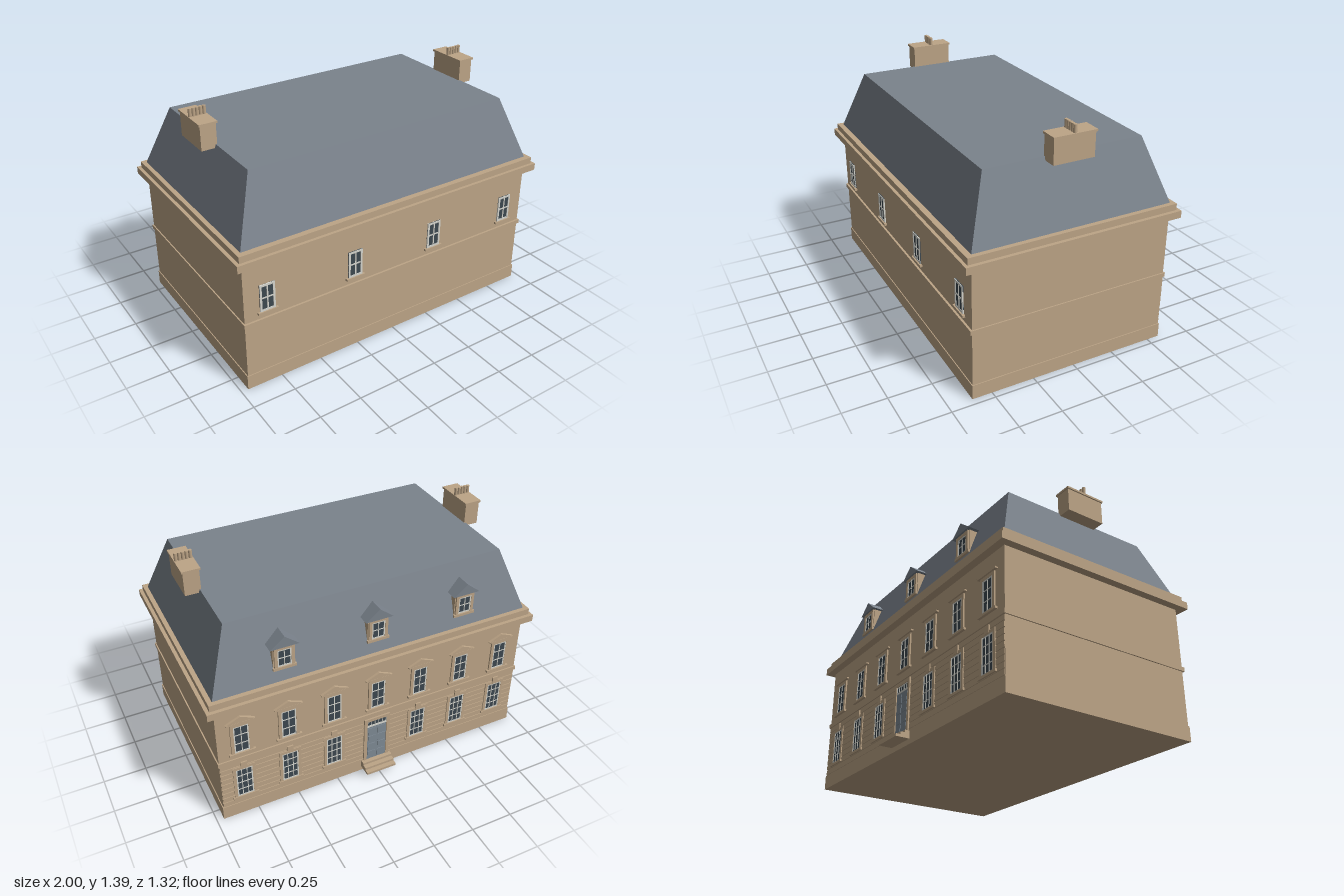
import * as THREE from 'three';

const mat = (name, color) => {
  const m = new THREE.MeshStandardMaterial({ color });
  m.name = name;
  return m;
};

export function createModel() {
  const stone = mat('stone', 0xbda587);
  const slate = mat('slate', 0x7b838c);
  const glass = mat('glass', 0x3d4850);
  const white = mat('window white', 0xd6d6ce);
  const doorGrey = mat('door grey', 0x7f8b95);

  const model = new THREE.Group();
  model.name = 'house';

  const add = (parent, name, geo, material) => {
    const m = new THREE.Mesh(geo, material);
    m.name = name;
    parent.add(m);
    return m;
  };
  // Box given by its limits
  const box = (parent, name, x0, x1, y0, y1, z0, z1, material) => {
    const m = add(parent, name, new THREE.BoxGeometry(x1 - x0, y1 - y0, z1 - z0), material);
    m.position.set((x0 + x1) / 2, (y0 + y1) / 2, (z0 + z1) / 2);
    return m;
  };
  const group = (parent, name, x, y, z) => {
    const g = new THREE.Group();
    g.name = name;
    g.position.set(x, y, z);
    parent.add(g);
    return g;
  };
  // Triangular prism, base on y = 0, running along +z
  const gable = (width, height, depth) => {
    const s = new THREE.Shape();
    s.moveTo(-width / 2, 0);
    s.lineTo(width / 2, 0);
    s.lineTo(0, height);
    s.closePath();
    return new THREE.ExtrudeGeometry(s, { depth, bevelEnabled: false });
  };
  // Glass with white frame and glazing bars, centred on x = 0
  const sash = (g, w, y0, y1, cols, rows, z = 0, t = 0.007) => {
    box(g, 'pane', -w / 2, w / 2, y0, y1, z, z + 0.005, glass);
    for (let i = 0; i <= cols; i++) {
      const x = -w / 2 + (w * i) / cols;
      const e = i === 0 || i === cols ? t / 2 : t / 3;
      const c = i === 0 ? x + e : i === cols ? x - e : x;
      box(g, 'uprightBar', c - e, c + e, y0, y1, z, z + 0.008, white);
    }
    for (let j = 0; j <= rows; j++) {
      const y = y0 + ((y1 - y0) * j) / rows;
      const e = j === 0 || j === rows ? t / 2 : t / 3;
      const c = j === 0 ? y + e : j === rows ? y - e : y;
      box(g, 'crossBar', -w / 2, w / 2, c - e, c + e, z, z + 0.0075, white);
    }
  };
  // Stone jambs and head around an opening
  const surround = (g, w, y0, y1, t, z) => {
    for (const s of [-1, 1]) {
      const c = s * (w / 2 + t / 2);
      box(g, 'jamb', c - t / 2, c + t / 2, y0, y1, 0, z, stone);
    }
    box(g, 'head', -w / 2 - t, w / 2 + t, y1, y1 + t, 0, z, stone);
  };

  // Horizontal layers of the walls: name, half width, y range, z range
  const layers = [
    ['walls', 0.955, 0, 0.8, -0.57, 0.61],
    ['plinth', 0.96, 0, 0.085, -0.575, 0.615],
    ['floorBand', 0.962, 0.4, 0.425, -0.578, 0.622],
    ['cornice', 1.0, 0.778, 0.82, -0.615, 0.66],
    ['parapet', 0.98, 0.82, 0.858, -0.595, 0.642],
  ];
  for (const [n, hx, y0, y1, z0, z1] of layers) box(model, n, -hx, hx, y0, y1, z0, z1, stone);

  // Roof: box tapered at the top
  const roofGeo = new THREE.BoxGeometry(1.91, 0.365, 1.18);
  const p = roofGeo.attributes.position;
  for (let i = 0; i < p.count; i++) {
    if (p.getY(i) > 0) p.setXYZ(i, p.getX(i) * 0.864, p.getY(i), p.getZ(i) * 0.788);
  }
  roofGeo.computeVertexNormals();
  add(model, 'roof', roofGeo, slate).position.set(0, 1.0375, 0.02);

  // Chimneys with a row of pots
  for (const s of [-1, 1]) {
    const c = group(model, 'chimney', s * 0.862, 0, 0.02);
    box(c, 'stack', -0.045, 0.045, 1.2, 1.34, -0.12, 0.12, stone);
    box(c, 'cap', -0.052, 0.052, 1.338, 1.35, -0.126, 0.126, stone);
    for (let i = -2; i <= 2; i++) {
      add(c, 'pot', new THREE.CylinderGeometry(0.01, 0.01, 0.045, 12), stone).position.set(i * 0.02, 1.3725, 0);
    }
  }

  // Front windows
  const front = group(model, 'frontWindows', 0, 0, 0.61);
  for (const x of [-0.819, -0.273, 0.273, 0.819]) {
    const g = group(front, 'frontWindow', x, 0, 0);
    sash(g, 0.09, 0.468, 0.63, 2, 2, 0, 0.012);
    box(g, 'sill', -0.06, 0.06, 0.455, 0.468, 0, 0.015, stone);
  }

  // Back facade, built facing outward
  const back = group(model, 'backFacade', 0, 0, -0.57);
  back.rotation.y = Math.PI;
  // Rusticated courses on the ground floor
  const pitch = 0.315 / 9;
  for (let i = 0; i < 9; i++) {
    const y = 0.085 + i * pitch;
    box(back, 'course', -0.953, 0.953, y + 0.003, y + pitch - 0.003, 0, 0.004, stone);
  }
  for (let i = -3; i <= 3; i++) {
    // Upper windows with pediments
    const u = group(back, 'upperWindow', i * 0.273, 0, 0);
    sash(u, 0.085, 0.468, 0.65, 2, 3);
    surround(u, 0.085, 0.465, 0.65, 0.018, 0.009);
    box(u, 'sill', -0.075, 0.075, 0.453, 0.466, 0, 0.015, stone);
    box(u, 'pedimentBase', -0.08, 0.08, 0.672, 0.681, 0, 0.015, stone);
    add(u, 'pediment', gable(0.165, 0.036, 0.014), stone).position.y = 0.681;
    if (i === 0) continue;
    // Ground floor windows with keystones
    const l = group(back, 'lowerWindow', i * 0.273, 0, 0);
    sash(l, 0.095, 0.14, 0.34, 3, 4);
    surround(l, 0.095, 0.14, 0.34, 0.018, 0.009);
    box(l, 'sill', -0.075, 0.075, 0.126, 0.14, 0, 0.014, stone);
    box(l, 'keystone', -0.018, 0.018, 0.345, 0.39, 0, 0.012, stone);
  }

  // Door with transom light, panels and steps
  const door = group(back, 'door', 0, 0, 0);
  surround(door, 0.125, 0.075, 0.37, 0.02, 0.012);
  box(door, 'doorLeaf', -0.0625, 0.0625, 0.075, 0.33, 0, 0.007, doorGrey);
  box(door, 'transomRail', -0.0625, 0.0625, 0.326, 0.333, 0, 0.009, white);
  sash(door, 0.125, 0.333, 0.37, 5, 1, 0, 0.005);
  for (const s of [-1, 1]) {
    for (let j = 0; j < 4; j++) {
      const y = 0.085 + j * 0.06;
      box(door, 'doorPanel', s * 0.031 - 0.024, s * 0.031 + 0.024, y, y + 0.05, 0, 0.01, doorGrey);
    }
  }
  for (let i = 0; i < 3; i++) {
    box(door, 'step', -0.095, 0.095, 0.03 + i * 0.015, 0.045 + i * 0.015, 0, 0.086 - i * 0.027, stone);
  }

  // Dormers on the back slope
  for (const x of [-0.546, 0, 0.546]) {
    const d = group(back, 'dormer', x, 0, 0);
    box(d, 'dormerBody', -0.062, 0.062, 0.92, 1.066, -0.085, -0.024, stone);
    sash(d, 0.078, 0.94, 1.045, 2, 2, -0.024);
    const f = group(d, 'dormerSurround', 0, 0, -0.024);
    surround(f, 0.078, 0.925, 1.045, 0.018, 0.01);
    box(f, 'sill', -0.066, 0.066, 0.922, 0.938, 0, 0.013, stone);
    add(d, 'dormerRoof', gable(0.165, 0.066, 0.092), slate).position.set(0, 1.065, -0.097);
  }
  return model;
}
